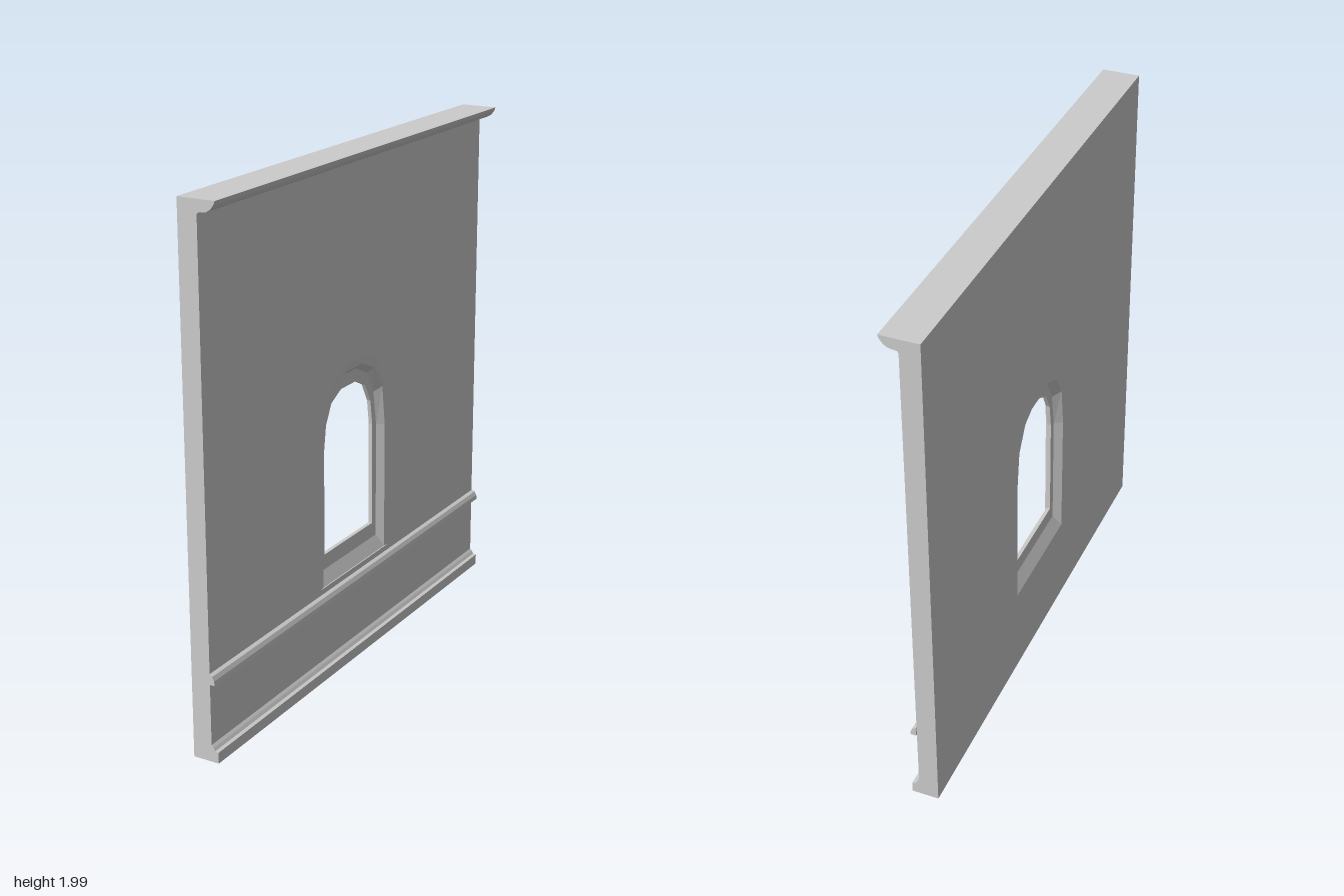
import * as THREE from 'three';

const BACK = -0.075, TOP = 1.99, HALF = 0.995;
const material = new THREE.MeshStandardMaterial({ color: 0xcccccc, flatShading: true, side: THREE.DoubleSide });

// Mirrors a half outline (bottom to crown) into a closed loop, counterclockwise from the +x side
const mirrored = half => [...half, ...half.slice().reverse().map(([u, y]) => [-u, y])];

// Arched window outlines, from the wall surface in to the clear opening
const surround = mirrored([[0.26, 0.36], [0.26, 0.87], [0.235, 1.02], [0.16, 1.15], [0.07, 1.195]]);
const rim = mirrored([[0.232, 0.36], [0.232, 0.87], [0.212, 1.03], [0.155, 1.12], [0.057, 1.163]]);
const frameOuter = mirrored([[0.21, 0.41], [0.21, 0.87], [0.188, 1.01], [0.14, 1.1], [0.056, 1.14]]);
const opening = mirrored([[0.18, 0.47], [0.18, 0.88], [0.165, 0.98], [0.125, 1.055], [0.055, 1.09]]);
const wallEdge = mirrored([[HALF, 0], [HALF, TOP]]);

// Joins successive [outline, x] loops with quads
function loft(loops) {
  const pos = [], idx = [], n = loops[0][0].length;
  for (const [outline, x] of loops) for (const [u, y] of outline) pos.push(x, y, -u);
  for (let k = 0; k < loops.length - 1; k++) {
    for (let i = 0; i < n; i++) {
      const p = k * n + i, q = k * n + (i + 1) % n;
      idx.push(p, q, p + n, q, q + n, p + n);
    }
  }
  const g = new THREE.BufferGeometry();
  g.setAttribute('position', new THREE.Float32BufferAttribute(pos, 3));
  g.setIndex(idx);
  const flat = g.toNonIndexed();
  flat.computeVertexNormals();
  return flat;
}

// Flat wall face with an arched hole, turned to face +x (side 1) or -x (side -1)
function wallFace(hole, x, side) {
  const toPoints = o => o.map(([u, y]) => new THREE.Vector2(u, y));
  const shape = new THREE.Shape(toPoints(wallEdge));
  shape.holes.push(new THREE.Path(toPoints(hole)));
  return new THREE.ShapeGeometry(shape).rotateY(side * Math.PI / 2).translate(x, 0, 0);
}

// Moulding with an (x, y) profile running the length of the wall
function moulding(profile, half) {
  const shape = new THREE.Shape(profile.map(([x, y]) => new THREE.Vector2(x, y)));
  return new THREE.ExtrudeGeometry(shape, { depth: half * 2, bevelEnabled: false }).translate(0, 0, -half);
}

export function createModel() {
  const model = new THREE.Group();
  const add = (name, geometry) => {
    const mesh = new THREE.Mesh(geometry, material);
    mesh.name = name;
    model.add(mesh);
  };

  // Wall slab
  add('wallFront', wallFace(surround, 0, 1));
  add('wallBack', wallFace(rim, BACK, -1));
  add('wallEdges', loft([[wallEdge, BACK], [wallEdge, 0]]));

  // Shallow surround, splayed reveals and the frame set in the middle of the wall
  add('windowSurround', loft([[surround, 0], [rim, -0.004]]));
  add('frontReveal', loft([[rim, -0.004], [frameOuter, -0.03]]));
  add('windowFrame', loft([[frameOuter, -0.03], [opening, -0.03], [opening, -0.045], [frameOuter, -0.045]]));
  add('backReveal', loft([[frameOuter, -0.045], [rim, BACK]]));

  // Horizontal mouldings
  add('cornice', moulding([[0, 1.94], [0.006, 1.946], [0.035, 1.95], [0.052, 1.96], [0.064, 1.976], [0.07, TOP], [0, TOP]], HALF));
  add('dadoRail', moulding([[0, 0.3], [0.023, 0.3], [0.021, 0.317], [0.013, 0.332], [0, 0.338]], 1));
  add('skirting', moulding([[0, 0], [0.028, 0], [0.028, 0.042], [0.015, 0.045], [0.008, 0.056], [0, 0.065]], HALF));

  return model;
}
